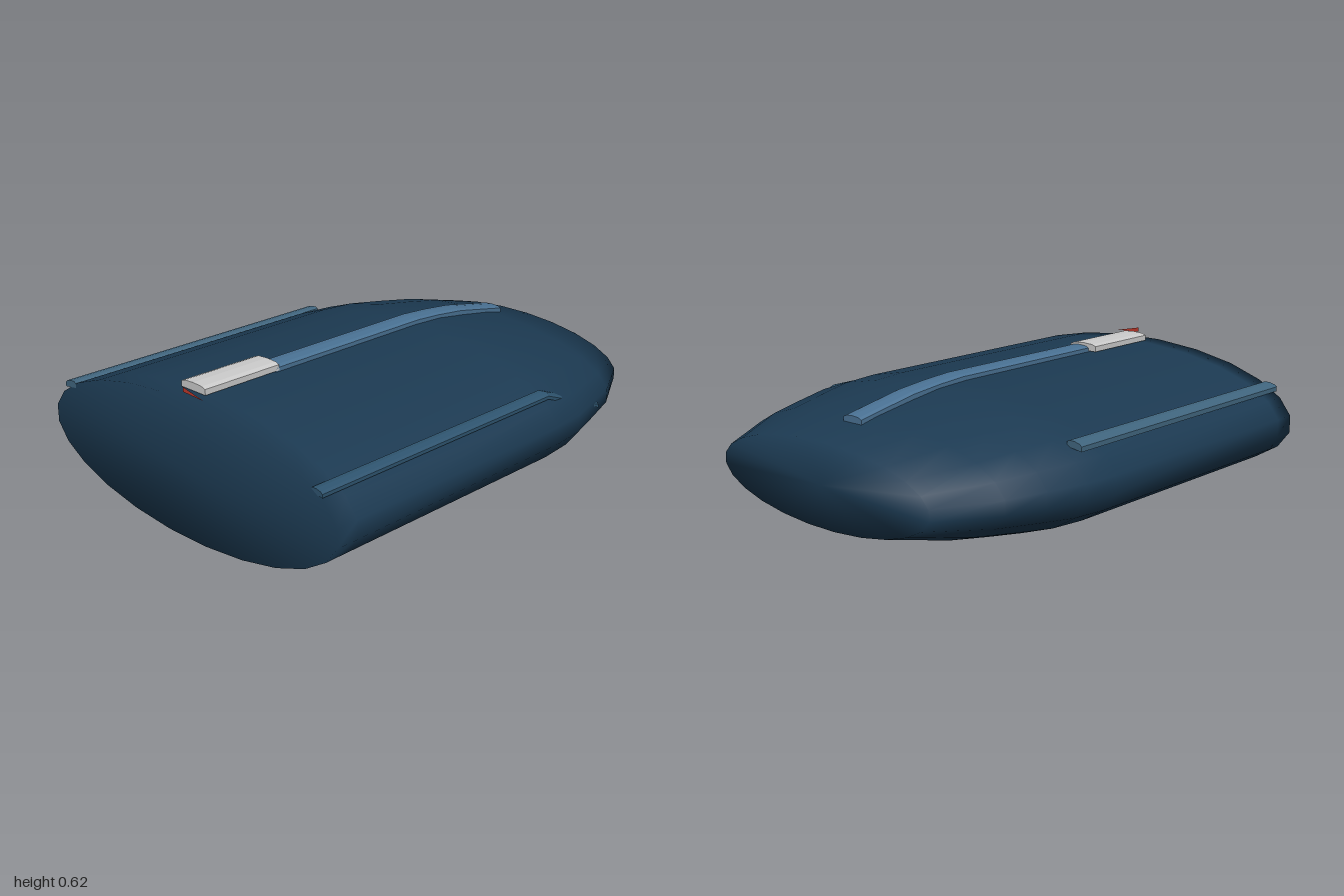
import * as THREE from 'three';

// Closed skin over cross-section rings that run along +x (each ring turns from +y towards +z).
function loft(rings) {
  const n = rings[0].length, last = rings.length - 1;
  const pos = rings.flat(2), index = [];
  for (let r = 0; r < last; r++) {
    for (let i = 0; i < n; i++) {
      const a = r * n + i, b = r * n + (i + 1) % n;
      index.push(a, b, a + n, b, b + n, a + n);
    }
  }
  // end caps as fans round a centre point
  for (const r of [0, last]) {
    const c = pos.length / 3;
    for (let k = 0; k < 3; k++) pos.push(rings[r].reduce((s, p) => s + p[k], 0) / n);
    for (let i = 0; i < n; i++) {
      const a = r * n + i, b = r * n + (i + 1) % n;
      if (r === 0) index.push(c, b, a);
      else index.push(c, a, b);
    }
  }
  const g = new THREE.BufferGeometry();
  g.setAttribute('position', new THREE.Float32BufferAttribute(pos, 3));
  g.setIndex(index);
  g.computeVertexNormals();
  return g;
}

// Slightly crowned band following [x, top y, centre z] points.
function band(path, width, height, tilt = 0) {
  const w = width / 2;
  const section = [[0, 0], [w * 0.7, -0.003], [w, -0.01], [w, -height], [-w, -height], [-w, -0.01], [-w * 0.7, -0.003]];
  return loft(path.map(([x, y, z]) => section.map(([dz, dy]) => [x, y + dy - dz * tilt, z + dz])));
}

export function createModel() {
  const group = new THREE.Group();
  const add = (name, geometry, color, options = {}) => {
    const mesh = new THREE.Mesh(geometry, new THREE.MeshStandardMaterial({ color, ...options }));
    mesh.name = name;
    group.add(mesh);
  };

  // padded body: 24-sided ellipse, tapering towards +x; [x, half height, half width]
  const stations = [
    [-1, 0.291, 0.832], [-0.9, 0.291, 0.832], [0.25, 0.291, 0.832], [0.41, 0.283, 0.817],
    [0.58, 0.258, 0.768], [0.75, 0.23, 0.716], [1, 0.171, 0.58],
  ];
  const rings = stations.map(([x, ry, rz]) => Array.from({ length: 24 }, (_, i) => {
    const a = (i + 0.5) * Math.PI / 12;
    return [x, 0.289 + ry * Math.cos(a), rz * Math.sin(a)];
  }));
  add('body', loft(rings), 0x1c3a52);

  // bands on the top and the two sides
  const flat = { flatShading: true };
  add('centreBand', band([[-0.56, 0.605, 0], [0.27, 0.605, 0], [0.4, 0.596, 0], [0.55, 0.58, 0], [0.83, 0.527, 0]], 0.1, 0.03), 0x4a7294, flat);
  add('backBand', band([[-1, 0.462, -0.715], [0.37, 0.462, -0.715]], 0.07, 0.03, -0.15), 0x41667f, flat);
  add('frontBand', band([[-1, 0.448, 0.725], [0.27, 0.448, 0.725], [0.62, 0.312, 0.73]], 0.06, 0.024, 0.1), 0x2f5570, flat);

  // pale tab at the end of the centre band
  add('tab', band([[-0.92, 0.616, -0.02], [-0.545, 0.616, -0.02]], 0.14, 0.034), 0xf2f4f2, flat);

  // thin red flag standing across the end
  const flag = new THREE.BufferGeometry();
  flag.setAttribute('position', new THREE.Float32BufferAttribute(
    [-0.985, 0.597, 0.12, -0.985, 0.602, 0, -0.985, 0.622, 0], 3));
  flag.computeVertexNormals();
  add('flag', flag, 0xc0392b, { side: THREE.DoubleSide });

  return group;
}
